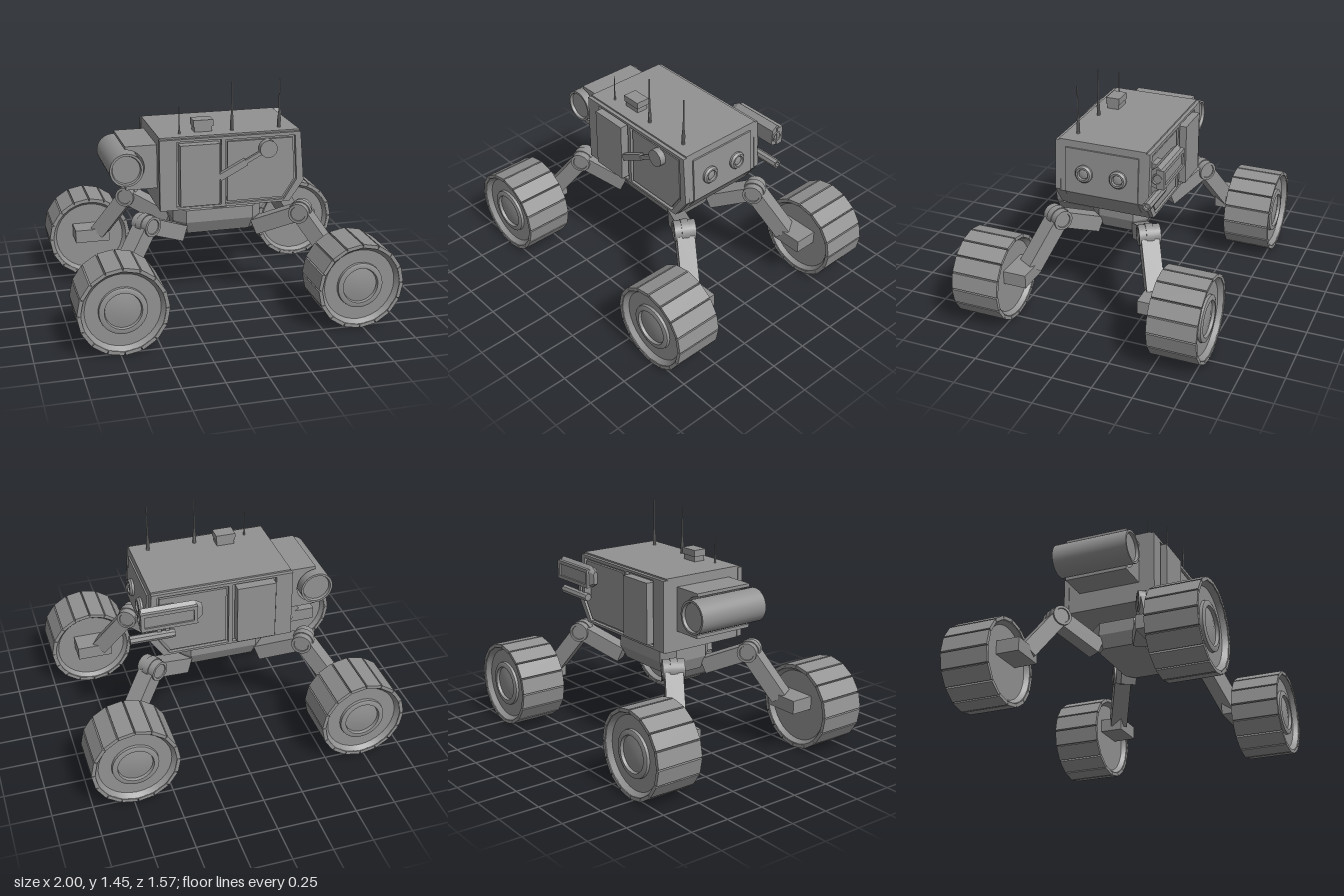
import * as THREE from 'three';
import { toCreasedNormals } from 'three/addons/utils/BufferGeometryUtils.js';
import { ConvexGeometry } from 'three/addons/geometries/ConvexGeometry.js';

const mat = new THREE.MeshStandardMaterial({ color: 0x929292 });
const V2 = (p) => new THREE.Vector2(p[0], p[1]);

function add(parent, name, geo, x = 0, y = 0, z = 0) {
  const m = new THREE.Mesh(geo, mat);
  m.name = name;
  m.position.set(x, y, z);
  parent.add(m);
  return m;
}
// box given by its min and max corners
function box(parent, name, x0, x1, y0, y1, z0, z1) {
  return add(parent, name, new THREE.BoxGeometry(x1 - x0, y1 - y0, z1 - z0),
    (x0 + x1) / 2, (y0 + y1) / 2, (z0 + z1) / 2);
}
// outline in the xy plane, extruded from z0 to z1
function slab(points, z0, z1, holes = []) {
  const s = new THREE.Shape(points.map(V2));
  holes.forEach((h) => s.holes.push(new THREE.Path(h.map(V2))));
  return new THREE.ExtrudeGeometry(s, { depth: z1 - z0, bevelEnabled: false }).translate(0, 0, z0);
}
// turned part with its axis along z
function turned(profile, segments = 32) {
  const g = new THREE.LatheGeometry(profile.map(V2), segments).rotateX(Math.PI / 2);
  return toCreasedNormals(g, 0.5);
}
// square beam between two points of the xy plane
function beam(parent, name, a, b, height, width) {
  const dx = b[0] - a[0], dy = b[1] - a[1];
  const m = add(parent, name, new THREE.BoxGeometry(Math.hypot(dx, dy), height, width),
    (a[0] + b[0]) / 2, (a[1] + b[1]) / 2, 0);
  m.rotation.z = Math.atan2(dy, dx);
}

function makeBody(root) {
  const body = new THREE.Group();
  body.name = 'body';
  root.add(body);
  const hull = [[-0.4, 0.685], [0.42, 0.685], [0.505, 0.81], [0.485, 1.145], [-0.4, 1.145]];
  add(body, 'hull', slab(hull, -0.28, 0.28));
  add(body, 'frontPanel', slab(
    [[0.3, 0.695], [0.425, 0.695], [0.515, 0.815], [0.498, 1.1], [0.3, 1.1]], -0.235, 0.235));

  // framed sides with a raised door and an inset panel
  const rim = [[-0.405, 0.69], [0.42, 0.69], [0.51, 0.82], [0.485, 1.135], [-0.405, 1.135]];
  const doorHole = [[-0.3, 0.705], [-0.3, 1.12], [-0.02, 1.12], [-0.02, 0.705]];
  const panelHole = [[0.005, 0.705], [0.005, 1.115], [0.45, 1.115], [0.465, 0.83], [0.385, 0.705]];
  const panel = [[0.02, 0.72], [0.375, 0.72], [0.45, 0.835], [0.436, 1.1], [0.02, 1.1]];
  for (const s of [1, -1]) {
    const [a, b] = s > 0 ? [0.27, 0.303] : [-0.303, -0.27];
    const [c, d] = s > 0 ? [0.27, 0.297] : [-0.297, -0.27];
    add(body, 'sideFrame', slab(rim, a, b, [doorHole, panelHole]));
    add(body, 'sidePanel', slab(panel, c, d));
    box(body, 'sideDoor', -0.285, -0.04, 0.72, 1.105, s > 0 ? 0.27 : -0.34, s > 0 ? 0.34 : -0.27);
  }

  // stowed rod with a round pivot on the left-hand side
  const rod = new THREE.Group();
  rod.name = 'stowedArm';
  rod.position.z = 0.318;
  body.add(rod);
  beam(rod, 'armRod', [-0.04, 0.883], [0.27, 1.045], 0.024, 0.02);
  beam(rod, 'armSleeve', [-0.04, 0.883], [0.13, 0.972], 0.042, 0.03);
  add(rod, 'armPivot', new THREE.CylinderGeometry(0.055, 0.055, 0.04, 24).rotateX(Math.PI / 2), 0.27, 1.045, 0);

  // round lamps on the sloping nose
  const lamp = turned([[0, -0.03], [0.055, -0.03], [0.055, 0.012], [0.045, 0.024], [0.034, 0.024],
    [0.03, 0.01], [0.024, 0.016], [0, 0.022]], 24).rotateY(Math.PI / 2);
  for (const s of [1, -1]) add(body, 'frontLamp', lamp, 0.508, 0.95, s * 0.11).rotation.z = 0.06;

  // hatch box and aerials on the roof
  box(body, 'roofBox', -0.163, -0.052, 1.14, 1.18, 0.12, 0.195);
  box(body, 'roofBoxLid', -0.17, -0.045, 1.178, 1.22, 0.113, 0.202);
  for (const [x, top, base, k] of [[-0.26, 1.315, 1.19, 0.65], [0.072, 1.45, 1.24, 1], [0.375, 1.45, 1.24, 1]]) {
    add(body, 'aerial', toCreasedNormals(new THREE.LatheGeometry([[0.011 * k, 1.14], [0.011 * k, base - 0.03],
      [0.008 * k, base - 0.02], [0.008 * k, base], [0.005 * k, base + 0.01], [0.004 * k, top], [0, top]].map(V2), 10),
    0.6), x, 0, 0.204);
  }
}

function makeTank(root) {
  const tank = new THREE.Group();
  tank.name = 'rearTank';
  root.add(tank);
  // cradle with a round cut-out that surrounds the drum
  const s = new THREE.Shape();
  s.moveTo(-0.4, 0.81);
  s.lineTo(-0.4, 1.085);
  s.lineTo(-0.595, 1.085);
  s.absarc(-0.595, 0.948, 0.117, Math.PI / 2, -Math.PI / 2, true);
  s.lineTo(-0.595, 0.81);
  const cradle = new THREE.ExtrudeGeometry(s, { depth: 0.4, bevelEnabled: false, curveSegments: 20 });
  add(tank, 'tankCradle', toCreasedNormals(cradle, 0.5), 0, 0, -0.2);
  add(tank, 'tankDrum', turned([[0, -0.225], [0.085, -0.225], [0.09, -0.243], [0.104, -0.243], [0.104, 0.243],
    [0.09, 0.243], [0.085, 0.225], [0, 0.225]]), -0.595, 0.948, 0);
}

function makeSideModule(root) {
  const pod = new THREE.Group();
  pod.name = 'sensorPod';
  root.add(pod);
  // tapered housing with a framed outer face and a lens at its front
  const section = [[-0.345, 0.985], [-0.345, 1.085], [-0.383, 1.115], [-0.415, 1.085], [-0.415, 0.985], [-0.383, 0.972]];
  const pts = [];
  for (const [z, y] of section) {
    pts.push(new THREE.Vector3(0.575, y, z), new THREE.Vector3(0.245, y, z));
    pts.push(new THREE.Vector3(0.2, 1.043 + (y - 1.043) * 0.6, -0.385 + (z + 0.385) * 0.4));
  }
  add(pod, 'podHousing', new ConvexGeometry(pts));
  for (const y of [0.975, 1.073]) box(pod, 'podRail', 0.235, 0.582, y, y + 0.022, -0.426, -0.38);
  for (const x of [0.235, 0.56]) box(pod, 'podPost', x, x + 0.022, 0.975, 1.095, -0.426, -0.38);
  add(pod, 'podLens', turned([[0, -0.02], [0.034, -0.02], [0.034, 0.008], [0.026, 0.008], [0.022, 0], [0, 0]], 20)
    .rotateY(Math.PI / 2), 0.578, 1.035, -0.381);
  box(pod, 'podMount', 0.35, 0.44, 0.98, 1.06, -0.36, -0.28);
  // slim tube under the housing
  add(pod, 'lowerTube', turned([[0, -0.14], [0.024, -0.14], [0.028, -0.12], [0.028, 0.14], [0.018, 0.14],
    [0.016, 0.12], [0, 0.12]], 8).rotateY(Math.PI / 2), 0.497, 0.875, -0.34);
  for (const x of [0.39, 0.44]) box(pod, 'tubeBracket', x, x + 0.025, 0.86, 0.99, -0.345, -0.29);
}

function makeChassis(root) {
  const chassis = new THREE.Group();
  chassis.name = 'chassis';
  root.add(chassis);
  // long octagon with chamfered underside
  const pts = [];
  const ring = (y, ex, ez, sx, sz) => {
    for (const i of [1, -1]) for (const j of [1, -1]) {
      pts.push(new THREE.Vector3(i * ex, y, j * ez), new THREE.Vector3(i * sx, y, j * sz));
    }
  };
  ring(0.64, 0.285, 0.115, 0.215, 0.19);
  ring(0.56, 0.285, 0.115, 0.215, 0.19);
  ring(0.477, 0.255, 0.1, 0.2, 0.15);
  add(chassis, 'chassisTub', new ConvexGeometry(pts));
  add(chassis, 'turntable', toCreasedNormals(new THREE.LatheGeometry([[0, 0.63], [0.175, 0.63], [0.175, 0.655],
    [0.195, 0.655], [0.195, 0.672], [0.18, 0.672], [0.18, 0.69], [0, 0.69]].map(V2), 32), 0.5));
}

function makeWheel() {
  const wheel = new THREE.Group();
  wheel.name = 'wheel';
  // drum with a dished outer face, hub ring and plain inner face
  add(wheel, 'wheelDrum', turned([[0, -0.12], [0.225, -0.12], [0.245, -0.148], [0.257, -0.148], [0.257, 0.148],
    [0.248, 0.148], [0.225, 0.118], [0.145, 0.118], [0.143, 0.135], [0.13, 0.14], [0.112, 0.14],
    [0.107, 0.122], [0.06, 0.13], [0, 0.133]], 32));
  // sixteen tread plates with narrow gaps between them
  const plate = new THREE.BoxGeometry(0.022, 0.097, 0.305);
  for (let i = 0; i < 16; i++) {
    const a = (i + 0.5) * Math.PI / 8;
    add(wheel, 'treadPlate', plate, 0.257 * Math.cos(a), 0.257 * Math.sin(a), 0).rotation.z = a;
  }
  return wheel;
}

function makeLeg(root, sx, sz) {
  // leg lies in its own vertical plane, turned diagonally outwards
  const leg = new THREE.Group();
  leg.name = 'leg';
  leg.position.set(sx * 0.495, 0.615, sz * 0.3);
  leg.rotation.y = Math.atan2(-sz * 0.53, sx * 0.85);
  root.add(leg);
  beam(leg, 'innerLeg', [0.01, 0.004], [-0.29, -0.125], 0.1, 0.1);
  beam(leg, 'outerLeg', [0, 0], [0.21, -0.275], 0.1, 0.11);
  add(leg, 'kneeJoint', turned([[0, -0.06], [0.045, -0.06], [0.047, -0.066], [0.063, -0.066], [0.063, -0.022],
    [0.069, -0.022], [0.069, 0.022], [0.063, 0.022], [0.063, 0.066], [0.047, 0.066], [0.045, 0.06], [0, 0.06]], 24));

  box(root, 'axleBlock', sx * 0.7275 - 0.112, sx * 0.7275 + 0.112, 0.28, 0.365,
    sz > 0 ? 0.363 : -0.52, sz > 0 ? 0.52 : -0.363);
  const wheel = makeWheel();
  wheel.position.set(sx * 0.7275, 0.2725, sz * 0.631);
  if (sz < 0) wheel.rotation.y = Math.PI;
  root.add(wheel);
}

export function createModel() {
  const root = new THREE.Group();
  root.name = 'rover';
  makeBody(root);
  makeTank(root);
  makeSideModule(root);
  makeChassis(root);
  for (const sx of [1, -1]) for (const sz of [1, -1]) makeLeg(root, sx, sz);
  return root;
}
